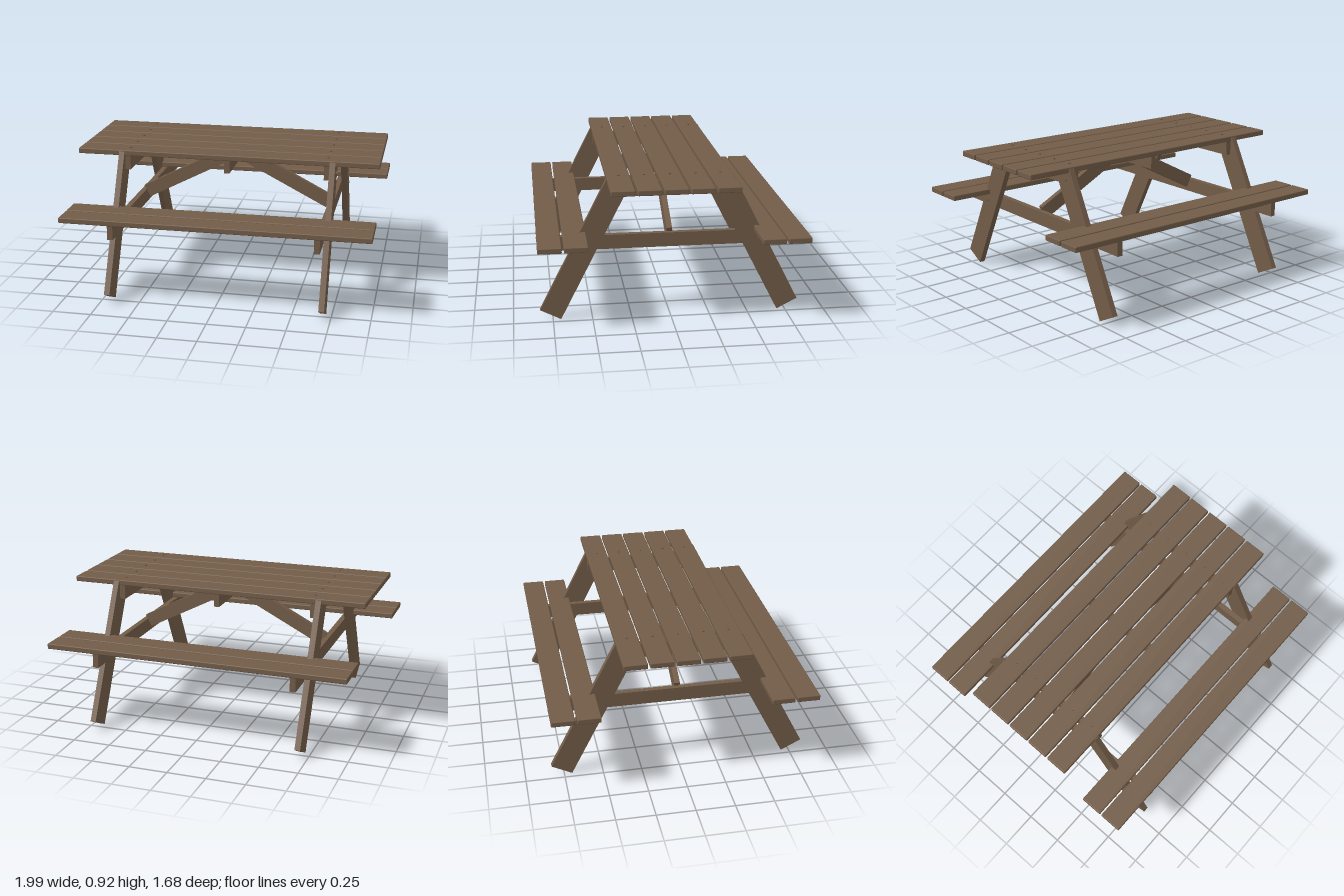
import * as THREE from 'three';
import { RoundedBoxGeometry } from 'three/addons/geometries/RoundedBoxGeometry.js';

export function createModel() {
  const table = new THREE.Group();
  table.name = 'picnicTable';
  const wood = new THREE.MeshStandardMaterial({ color: 0x725c48 });
  wood.name = 'brown wood';

  const add = (name, geometry, x, y, z) => {
    const mesh = new THREE.Mesh(geometry, wood);
    mesh.name = name;
    mesh.position.set(x, y, z);
    table.add(mesh);
    return mesh;
  };

  // Long planks with softened edges
  const plank = new RoundedBoxGeometry(1.99, 0.036, 0.147, 2, 0.006);
  const pitch = 0.161;
  for (let i = -2; i <= 2; i++) add('topPlank', plank, 0, 0.902, i * pitch);
  for (const s of [-1, 1]) {
    add('innerSeatPlank', plank, 0, 0.562, s * 0.607);
    add('outerSeatPlank', plank, 0, 0.562, s * 0.767);
  }

  // Sloping leg: centre line runs from the foot up and inward
  const footZ = 0.765, footY = 0.036, headZ = 0.334, headY = 0.88;
  const legLength = Math.hypot(footZ - headZ, headY - footY);
  const legTilt = Math.atan2(footZ - headZ, headY - footY);
  const leg = new THREE.BoxGeometry(0.037, legLength, 0.147);

  // Frames at both ends
  const topRail = new THREE.BoxGeometry(0.036, 0.094, 0.78);
  const seatRail = new THREE.BoxGeometry(0.036, 0.092, 1.66);
  const screw = new THREE.CylinderGeometry(0.008, 0.008, 0.02, 12);
  for (const side of [-1, 1]) {
    for (const s of [-1, 1]) {
      const mesh = add('leg', leg, side * 0.695, (footY + headY) / 2, s * (footZ + headZ) / 2);
      mesh.rotation.x = -s * legTilt;
    }
    add('topRail', topRail, side * 0.658, 0.837, 0);
    add('seatRail', seatRail, side * 0.658, 0.496, 0);
    for (let i = -2; i <= 2; i++) add('screw', screw, side * 0.657, 0.917, i * pitch);
  }

  // Bolt heads on the outside of the left frame
  const bolt = new THREE.CylinderGeometry(0.01, 0.01, 0.02, 16).rotateZ(Math.PI / 2);
  for (const s of [-1, 1]) {
    add('upperBolt', bolt, 0.711, 0.835, s * 0.361);
    add('lowerBolt', bolt, 0.711, 0.496, s * 0.569);
  }

  // Centre batten under the top and the diagonal braces below it
  add('centreBatten', new THREE.BoxGeometry(0.036, 0.094, 0.72), 0, 0.837, 0);
  const brace = new THREE.BoxGeometry(0.693, 0.09, 0.036);
  for (const side of [-1, 1]) {
    add('brace', brace, side * 0.33, 0.686, 0).rotation.z = -side * 0.476;
  }

  return table;
}
